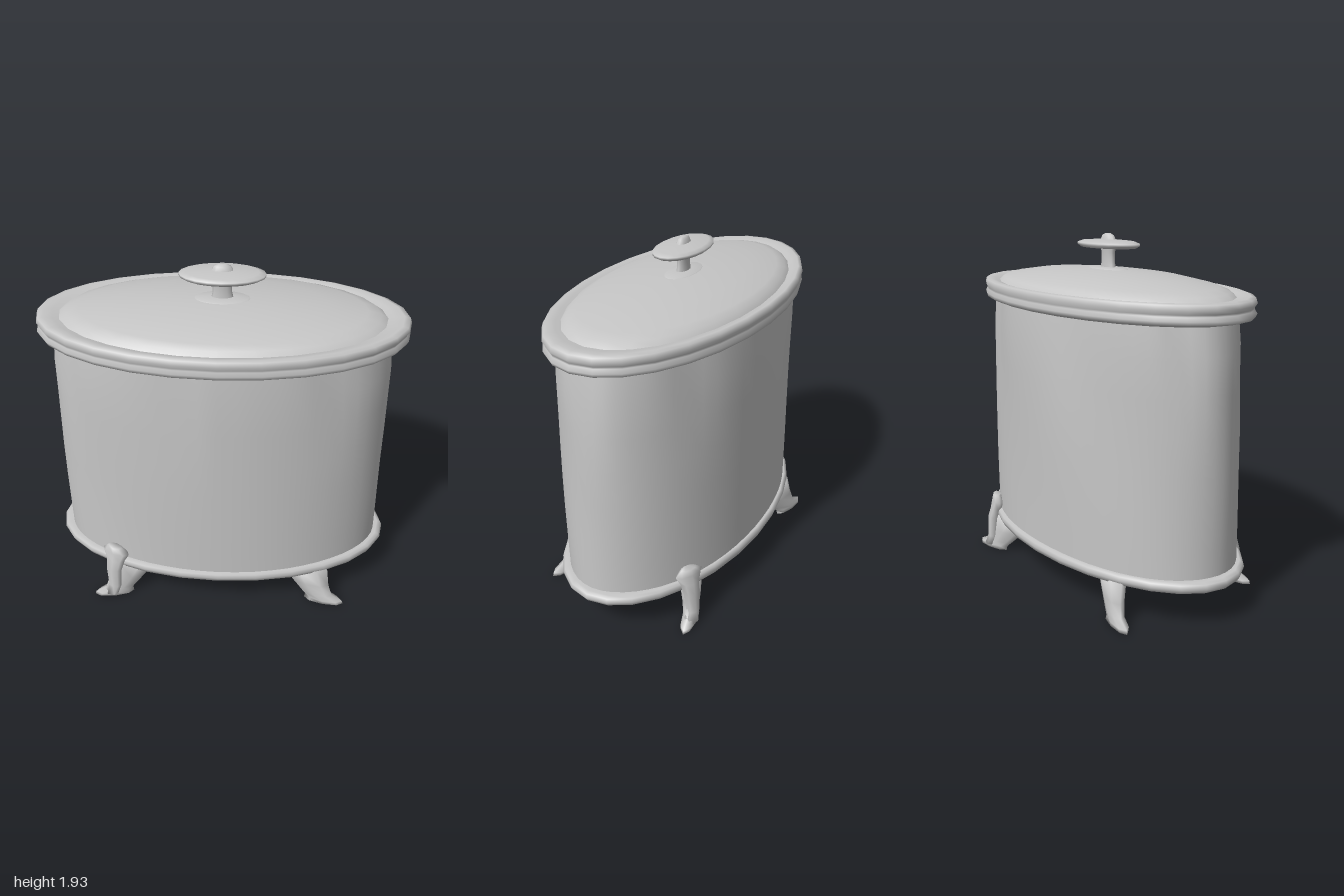
import * as THREE from 'three';

const metal = new THREE.MeshStandardMaterial({ color: 0xc6c6c6, side: THREE.DoubleSide });
metal.name = 'greyMetal';

const OVAL = 0.53; // depth of the oval relative to its width

function add(parent, name, geometry) {
  const mesh = new THREE.Mesh(geometry, metal);
  mesh.name = name;
  parent.add(mesh);
  return mesh;
}

// Lathe squashed to an oval; a repeated point makes a sharp edge
function oval(profile, sides = 28, depth = OVAL) {
  const points = profile.map(([r, y]) => new THREE.Vector2(r, y));
  return new THREE.LatheGeometry(points, sides).scale(1, 1, depth);
}

// Skin over oval rings, each [x, y, z, halfWidth, halfDepth, turn], from bottom to top, closed at both ends
function loft(rings, sides = 8) {
  const pos = [], index = [];
  for (const [x, y, z, w, d, turn = 0] of rings) {
    for (let i = 0; i < sides; i++) {
      const a = (i / sides) * Math.PI * 2;
      const u = Math.sin(a) * w, v = Math.cos(a) * d;
      pos.push(x + u * Math.cos(turn) - v * Math.sin(turn), y, z + u * Math.sin(turn) + v * Math.cos(turn));
    }
  }
  for (let j = 0; j < rings.length - 1; j++) {
    for (let i = 0; i < sides; i++) {
      const a = j * sides + i, b = j * sides + (i + 1) % sides;
      index.push(a, b, a + sides, b, b + sides, a + sides);
    }
  }
  const top = (rings.length - 1) * sides;
  for (let i = 1; i < sides - 1; i++) index.push(0, i + 1, i, top, top + i, top + i + 1);
  const g = new THREE.BufferGeometry();
  g.setAttribute('position', new THREE.Float32BufferAttribute(pos, 3));
  g.setIndex(index);
  g.computeVertexNormals();
  return g;
}

// Slightly dented sheet-metal wall, with shallow pleats under the lid
function wall() {
  const rows = [0.22, 0.4, 0.6, 0.8, 1.0, 1.2, 1.4, 1.57];
  const g = oval(rows.map((y) => [y > 1.5 ? 0.9 : 0.92, y]), 56, 0.537);
  const p = g.attributes.position;
  for (let i = 0; i < p.count; i++) {
    const x = p.getX(i), y = p.getY(i), z = p.getZ(i);
    const a = Math.atan2(x, z / 0.537);
    const high = THREE.MathUtils.smoothstep(y, 0.95, 1.55);
    const pleat = Math.pow(0.5 + 0.5 * Math.cos(7 * a + 1.3), 3);
    const k = 1 - 0.04 * high * pleat + 0.006 * Math.sin(5 * a + 4 * y);
    p.setXYZ(i, x * k, y, z * k);
  }
  // Seam normals stay those of the lathe
  const seam = g.attributes.normal.clone();
  g.computeVertexNormals();
  const n = g.attributes.normal;
  for (let i = 0; i < rows.length; i++) {
    for (const k of [i, p.count - rows.length + i]) n.setXYZ(k, seam.getX(k), seam.getY(k), seam.getZ(k));
  }
  return g;
}

function createModel() {
  const model = new THREE.Group();
  model.name = 'ovalCanister';

  // Body and its base rim
  add(model, 'bodyWall', wall());
  add(model, 'baseRim', oval([
    [0, 0.21], [0.93, 0.205], [0.93, 0.205], [0.965, 0.21], [0.98, 0.235], [0.97, 0.255], [0.95, 0.265], [0.9, 0.262],
  ]));

  // Lid: double-banded rim with a low dome
  const lid = new THREE.Group();
  lid.name = 'lid';
  model.add(lid);
  add(lid, 'lidRim', oval([
    [0.88, 1.555], [0.94, 1.55], [0.98, 1.56], [0.99, 1.58], [0.975, 1.6],
    [0.975, 1.61], [0.99, 1.63], [0.98, 1.655], [0.95, 1.662], [0.9, 1.655], [0.85, 1.645],
  ]));
  add(lid, 'lidDome', oval([
    [0.87, 1.645], [0.83, 1.672], [0.76, 1.69], [0.55, 1.72], [0.3, 1.738], [0.12, 1.745], [0, 1.746],
  ]));

  // Knob: collar, stem, oval disc and finial
  const knob = new THREE.Group();
  knob.name = 'knob';
  lid.add(knob);
  add(knob, 'knobCollar', oval([[0.16, 1.735], [0.14, 1.748], [0.06, 1.753], [0, 1.753]], 16));
  add(knob, 'knobStem', oval([[0.06, 1.74], [0.05, 1.78], [0.05, 1.83], [0.06, 1.87]], 12, 0.5));
  add(knob, 'knobDisc', oval([
    [0, 1.86], [0.2, 1.858], [0.225, 1.87], [0.225, 1.882], [0.19, 1.892], [0.06, 1.9], [0, 1.9],
  ], 20, 0.56));
  add(knob, 'knobFinial', oval([[0.06, 1.895], [0.045, 1.922], [0.02, 1.932], [0, 1.932]], 10, 0.5));

  // Four splayed feet; two diagonal ones carry a tall bracket against the wall
  for (const sx of [-1, 1]) {
    for (const sz of [-1, 1]) {
      const foot = new THREE.Group();
      foot.name = (sz > 0 ? 'front' : 'back') + (sx > 0 ? 'Left' : 'Right') + 'Foot';
      model.add(foot);
      const rings = (list) => list.map(([x, y, z, w, d, t]) => [sx * x, y, sz * z, w, d, sx * sz * t]);
      add(foot, 'leg', loft(rings([
        [0.62, 0, 0.425, 0.115, 0.035, 0.2],
        [0.62, 0.02, 0.42, 0.11, 0.04, 0.25],
        [0.575, 0.05, 0.405, 0.095, 0.04, 0.3],
        [0.53, 0.12, 0.38, 0.12, 0.05, 0.35],
        [0.475, 0.22, 0.345, 0.165, 0.06, 0.35],
      ])));
      if (sx === sz) continue;
      add(foot, 'bracket', loft(rings([
        [0.64, 0.02, 0.44, 0.05, 0.03, -0.4],
        [0.61, 0.08, 0.435, 0.04, 0.03, -0.4],
        [0.61, 0.2, 0.425, 0.05, 0.035, -0.4],
        [0.6, 0.26, 0.41, 0.06, 0.035, -0.4],
        [0.595, 0.31, 0.4, 0.085, 0.035, -0.4],
        [0.6, 0.345, 0.4, 0.045, 0.025, -0.4],
      ])));
    }
  }
  return model;
}

export { createModel };
